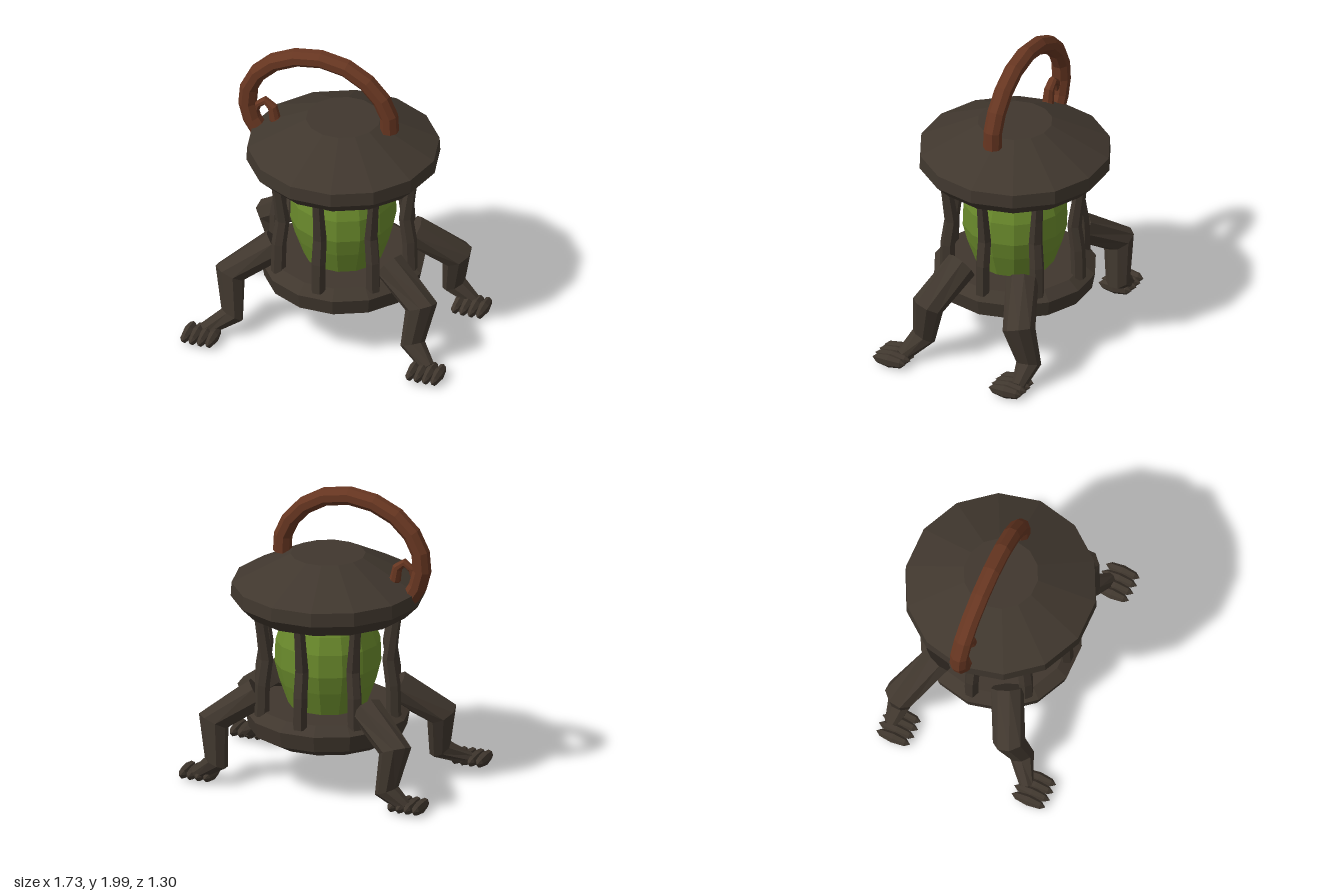
import * as THREE from 'three';

const CENTER_Z = -0.045;

// Faceted tube through points, with a radius for each point and closed ends
function limb(points, radii, sides) {
  const pts = points.map((p) => new THREE.Vector3(...p));
  const ref = new THREE.Vector3(0, 0, 1);
  const pos = [], idx = [], n = pts.length;
  pts.forEach((p, i) => {
    const dirIn = p.clone().sub(pts[Math.max(i - 1, 0)]).normalize();
    const dirOut = pts[Math.min(i + 1, n - 1)].clone().sub(p).normalize();
    const t = dirIn.add(dirOut).normalize();
    const u = ref.clone().cross(t).normalize();
    const v = t.clone().cross(u);
    for (let j = 0; j < sides; j++) {
      const a = ((j + 0.5) / sides) * Math.PI * 2;
      const q = p.clone().addScaledVector(u, Math.cos(a) * radii[i]).addScaledVector(v, Math.sin(a) * radii[i]);
      pos.push(q.x, q.y, q.z);
    }
  });
  const first = n * sides, last = first + 1;
  pos.push(...pts[0].toArray(), ...pts[n - 1].toArray());
  for (let j = 0; j < sides; j++) {
    const k = (j + 1) % sides;
    for (let i = 0; i < n - 1; i++) {
      const a = i * sides + j, b = i * sides + k;
      idx.push(a, b, a + sides, b, b + sides, a + sides);
    }
    idx.push(first, k, j, last, (n - 1) * sides + j, (n - 1) * sides + k);
  }
  const g = new THREE.BufferGeometry();
  g.setAttribute('position', new THREE.Float32BufferAttribute(pos, 3));
  g.setIndex(idx);
  g.computeVertexNormals();
  return g;
}

function lathe(profile, sides) {
  const g = new THREE.LatheGeometry(profile.map(([r, y]) => new THREE.Vector2(r, y)), sides);
  return g.rotateY(Math.PI / sides);
}

export function createModel() {
  const model = new THREE.Group();
  model.name = 'walkingLantern';

  const material = (name, color) => {
    const m = new THREE.MeshStandardMaterial({ color, flatShading: true });
    m.name = name;
    return m;
  };
  const iron = material('dark iron', 0x40372e);
  const glass = material('green glass', 0x6a8a2c);
  const copper = material('brown copper', 0x673621);

  const add = (parent, name, geometry, mat) => {
    const mesh = new THREE.Mesh(geometry, mat);
    mesh.name = name;
    parent.add(mesh);
    return mesh;
  };

  // Lantern body
  const body = new THREE.Group();
  body.name = 'lanternBody';
  body.position.z = CENTER_Z;
  model.add(body);
  add(body, 'roof', lathe([[0, 1.16], [0.53, 1.16], [0.62, 1.25], [0.615, 1.34], [0.24, 1.53], [0, 1.53]], 14), iron);
  add(body, 'base', lathe([[0, 0.3], [0.4, 0.3], [0.505, 0.36], [0.525, 0.465], [0.45, 0.52], [0, 0.52]], 14), iron);
  add(body, 'glassBulb', lathe([[0, 0.51], [0.25, 0.51], [0.31, 0.68], [0.34, 0.8], [0.335, 0.95], [0.3, 1.06], [0.24, 1.17], [0, 1.17]], 14), glass);

  // Cage bars, pinched in at the middle
  for (let i = 0; i < 8; i++) {
    const bar = add(body, 'cageBar',
      limb([[0.455, 0.49, 0], [0.45, 0.7, 0], [0.425, 0.87, 0], [0.45, 1.05, 0], [0.47, 1.18, 0]],
        [0.048, 0.048, 0.046, 0.04, 0.038], 6), iron);
    bar.rotation.y = (i * Math.PI) / 4;
  }

  // Handle that pierces the roof rim and ends in a thin curl
  const path = [
    [0.315, 1.5], [0.31, 1.61], [0.26, 1.72], [0.16, 1.83], [0.02, 1.91], [-0.15, 1.94], [-0.32, 1.915],
    [-0.47, 1.845], [-0.58, 1.74], [-0.64, 1.62], [-0.65, 1.5], [-0.62, 1.39], [-0.55, 1.28], [-0.43, 1.19],
    [-0.3, 1.17], [-0.31, 1.24], [-0.4, 1.33], [-0.465, 1.42], [-0.48, 1.5], [-0.53, 1.54], [-0.58, 1.5], [-0.595, 1.44],
  ];
  const radii = path.map((_, i) => (i < 13 ? 0.06 : 0.06 - (i - 12) * 0.0045));
  add(body, 'handle', limb(path.map(([x, y]) => [x, y, 0]), radii, 8), copper);

  // Legs: hip, knee, ankle and the middle of each foot
  const legs = [
    { name: 'frontRightLeg', hip: [-0.38, 0.61, 0.17], knee: [-0.64, 0.42, 0.3], ankle: [-0.6, 0.15, 0.37], foot: [-0.755, 0.055, 0.525] },
    { name: 'frontLeftLeg', hip: [0.38, 0.61, 0.14], knee: [0.64, 0.42, 0.25], ankle: [0.6, 0.16, 0.3], foot: [0.74, 0.055, 0.435] },
    { name: 'backRightLeg', hip: [-0.38, 0.61, -0.31], knee: [-0.64, 0.42, -0.46], ankle: [-0.59, 0.15, -0.48], foot: [-0.72, 0.055, -0.435] },
    { name: 'backLeftLeg', hip: [0.38, 0.61, -0.29], knee: [0.64, 0.42, -0.4], ankle: [0.6, 0.16, -0.45], foot: [0.74, 0.055, -0.395] },
  ];
  for (const { name, hip, knee, ankle, foot } of legs) {
    const leg = new THREE.Group();
    leg.name = name;
    model.add(leg);
    const heel = [foot[0], foot[1] + 0.005, foot[2] - 0.05];
    add(leg, 'shin', limb([hip, knee, ankle, heel], [0.105, 0.105, 0.08, 0.045], 8), iron);
    // Toes all point forward
    for (let i = 0; i < 4; i++) {
      const toe = add(leg, 'toe', new THREE.SphereGeometry(1, 7, 4).rotateX(Math.PI / 2), iron);
      toe.scale.set(0.036, 0.047, i === 0 || i === 3 ? 0.118 : 0.125);
      toe.position.set(foot[0] + (i - 1.5) * 0.056, foot[1], foot[2]);
    }
  }
  return model;
}
